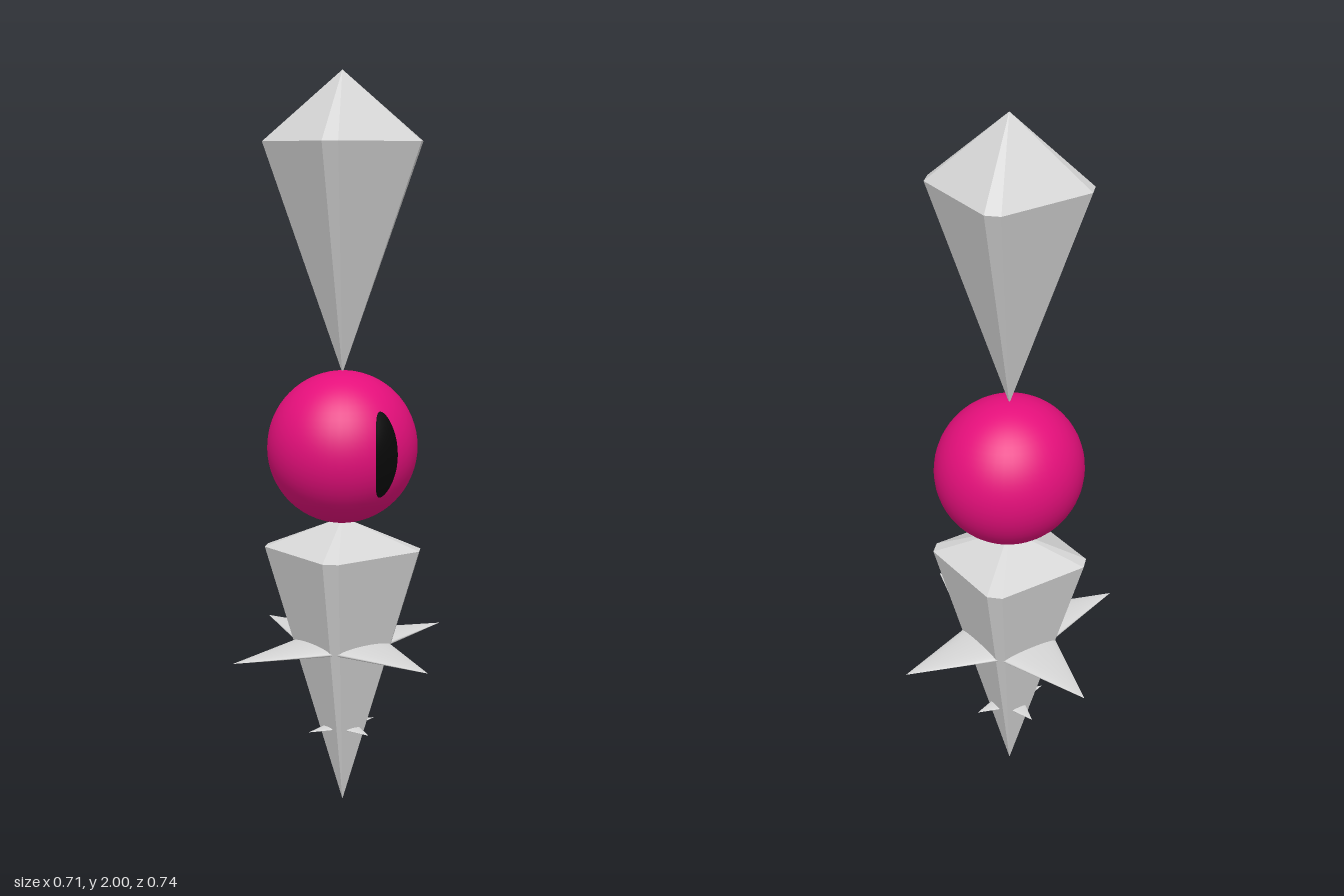
import * as THREE from 'three';

const CX = 0.007, CZ = -0.006; // shared vertical axis of the body

export function createModel() {
  const root = new THREE.Group();
  const material = (name, color) => {
    const m = new THREE.MeshStandardMaterial({ color });
    m.name = name;
    return m;
  };
  const stone = material('paleStone', 0xd6d6d6);
  const pink = material('magenta', 0xe50f7b);
  const black = material('black', 0x080808);

  const add = (name, geometry, mat, parent = root) => {
    const mesh = new THREE.Mesh(geometry, mat);
    mesh.name = name;
    parent.add(mesh);
    return mesh;
  };

  // Faceted crystal: a square girdle with cut corners between two points
  const crystal = (bottom, girdle, top) => {
    const h = 0.165, c = 0.135;
    const ring = [[h, -c], [h, c], [c, h], [-c, h], [-h, c], [-h, -c], [-c, -h], [c, -h]];
    const pos = [];
    ring.forEach(([x, z], i) => {
      const [x2, z2] = ring[(i + 1) % ring.length];
      pos.push(x, girdle, z, 0, top, 0, x2, girdle, z2);
      pos.push(x, girdle, z, x2, girdle, z2, 0, bottom, 0);
    });
    const g = new THREE.BufferGeometry();
    g.setAttribute('position', new THREE.Float32BufferAttribute(pos, 3));
    g.computeVertexNormals();
    return g.translate(CX, 0, CZ);
  };
  add('upperCrystal', crystal(1.2, 1.815, 2), stone);
  add('lowerCrystal', crystal(0, 0.72, 0.805), stone);

  // Eyeball
  const RX = 0.207, RZ = 0.198;
  const ball = add('eyeball', new THREE.SphereGeometry(1, 48, 32), pink);
  ball.scale.set(RX, RX, RZ);
  ball.position.set(CX, 1, CZ);

  // Slit pupil: a thin oval that follows the front of the eyeball
  const pupil = new THREE.RingGeometry(0, 1, 40, 8).scale(0.036, 0.115, 1);
  const p = pupil.attributes.position;
  for (let i = 0; i < p.count; i++) {
    const x = p.getX(i) / RX, y = p.getY(i) / RX;
    p.setZ(i, RZ * Math.sqrt(1 - x * x - y * y) + 0.002);
  }
  pupil.computeVertexNormals();
  add('pupil', pupil, black).position.set(CX, 1, CZ);

  // Four flattened cone spikes around the lower crystal
  const spikes = (name, y, size) => {
    const group = new THREE.Group();
    group.name = name;
    group.position.set(CX, y, CZ);
    [0.374, 0.346, 0.362, 0.36].forEach((reach, i) => {
      const base = 0.07, length = reach * 1 - base;
      const g = new THREE.ConeGeometry(0.1, length, 32)
        .translate(0, length / 2 + base, 0)
        .rotateX(Math.PI / 2)
        .scale(size, 0.16 * size, size)
        .rotateY(i * Math.PI / 2);
      add('spike', g, stone, group);
    });
    root.add(group);
  };
  spikes('largeSpikes', 0.453, 1);
  spikes('smallSpikes', 0.216, 0.32);

  return root;
}
